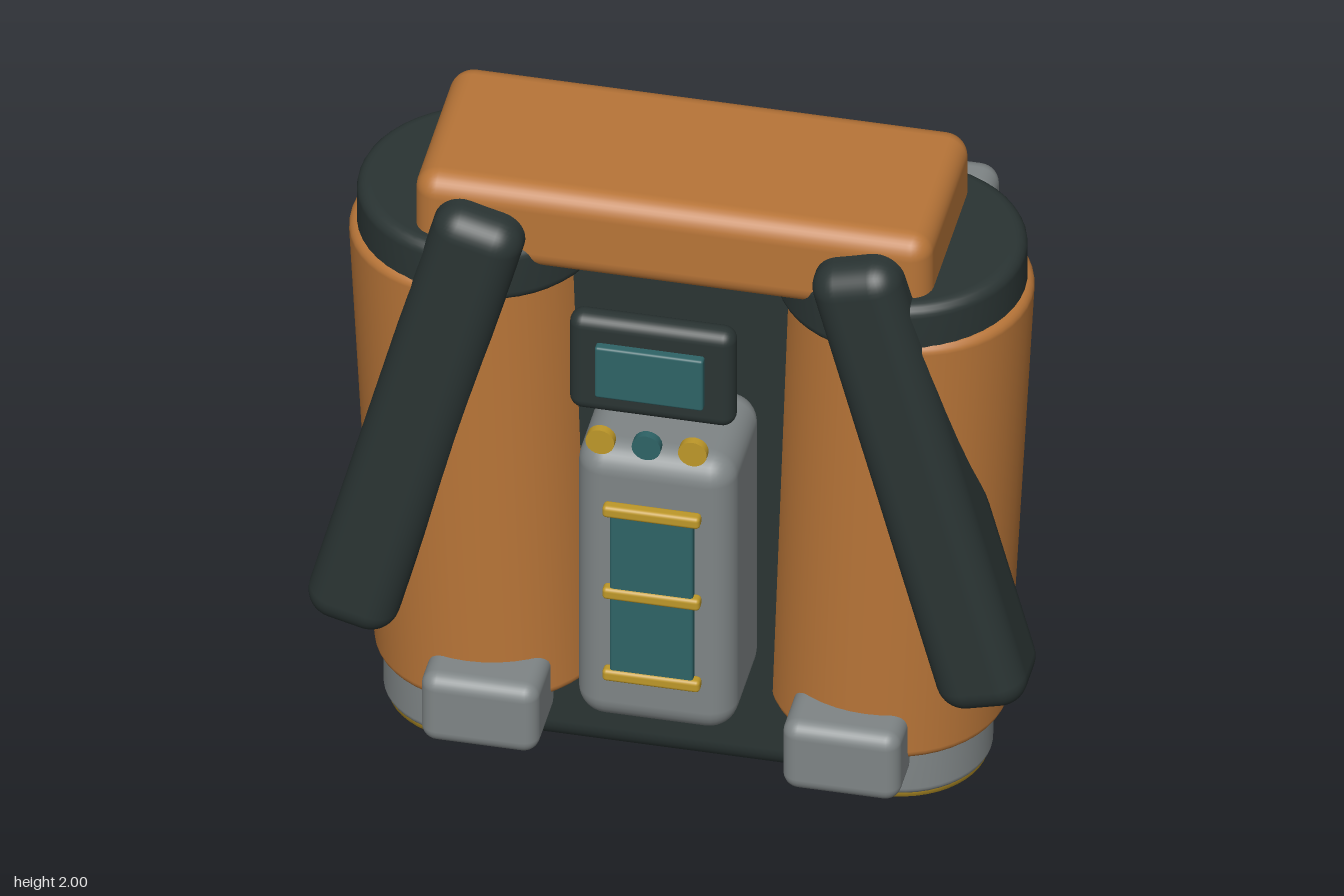
import * as THREE from 'three';
import { RoundedBoxGeometry } from 'three/addons/geometries/RoundedBoxGeometry.js';

const material = (name, color) => {
  const m = new THREE.MeshStandardMaterial({ color });
  m.name = name;
  return m;
};

export function createModel() {
  const orange = material('copper orange', 0xb87538);
  const dark = material('charcoal', 0x2a3433);
  const grey = material('steel grey', 0x7f8586);
  const teal = material('teal glass', 0x2e6366);
  const gold = material('brass', 0xbe9829);
  const model = new THREE.Group();
  model.name = 'backpack';

  const add = (name, geometry, mat, x = 0, y = 0, z = 0) => {
    const mesh = new THREE.Mesh(geometry, mat);
    mesh.name = name;
    mesh.position.set(x, y, z);
    model.add(mesh);
    return mesh;
  };

  // Rounded box given by its low and high corners
  const box = (name, mat, lo, hi, radius) => {
    const size = hi.map((h, i) => h - lo[i]);
    const mid = hi.map((h, i) => (h + lo[i]) / 2);
    return add(name, new RoundedBoxGeometry(...size, 4, radius), mat, ...mid);
  };

  // Upright cylinder with softened rims, centred on its own origin
  const drum = (rBottom, rTop, height, bevel) => {
    const h = height / 2;
    const pts = [new THREE.Vector2(0, -h), new THREE.Vector2(rBottom - bevel * 1.1, -h)];
    for (let i = 0; i <= 5; i++) {
      const a = (i / 5) * Math.PI / 2;
      pts.push(new THREE.Vector2(rBottom - bevel + bevel * Math.sin(a), -h + bevel - bevel * Math.cos(a)));
    }
    for (let i = 0; i <= 5; i++) {
      const a = (i / 5) * Math.PI / 2;
      pts.push(new THREE.Vector2(rTop - bevel + bevel * Math.cos(a), h - bevel + bevel * Math.sin(a)));
    }
    pts.push(new THREE.Vector2(rTop - bevel * 1.1, h), new THREE.Vector2(0, h));
    return new THREE.LatheGeometry(pts, 48);
  };

  // Core frame and cross members
  box('corePanel', dark, [-0.63, 0.03, -0.28], [0.63, 1.78, 0.07], 0.08);
  box('topBolster', orange, [-0.715, 1.73, -0.345], [0.715, 2, 0.205], 0.065);
  box('backRail', grey, [-0.765, 1.48, -0.505], [0.765, 1.78, -0.355], 0.055);
  box('baseRail', dark, [-0.76, 0.005, -0.41], [0.76, 0.275, -0.14], 0.055);

  // Front unit with striped window
  box('frontUnit', grey, [-0.22, 0.4, 0.04], [0.22, 1.325, 0.425], 0.08);
  box('gaugeWindow', teal, [-0.115, 0.58, 0.41], [0.115, 1.14, 0.448], 0.008);
  for (const y of [0.587, 0.865, 1.143]) {
    box('gaugeBand', gold, [-0.135, y - 0.019, 0.418], [0.135, y + 0.019, 0.456], 0.012);
  }

  // Display and buttons
  box('displayCase', dark, [-0.23, 1.475, 0.375], [0.23, 1.795, 0.455], 0.038);
  box('displayScreen', teal, [-0.15, 1.55, 0.44], [0.15, 1.72, 0.48], 0.008);
  for (const i of [-1, 0, 1]) {
    const button = new THREE.CylinderGeometry(0.04, 0.04, 0.025, 20).rotateX(Math.PI / 2);
    add('button', button, i === 0 ? teal : gold, i * 0.128, 1.425, 0.498);
  }

  // Mirrored tanks, nozzles, brackets and straps
  for (const s of [-1, 1]) {
    const tank = add('tank', drum(0.325, 0.337, 1.43, 0.03), orange, s * 0.575, 0.98, -0.07);
    tank.rotation.z = -s * 0.042;
    add('tankCap', drum(0.34, 0.34, 0.175, 0.035), dark, s * 0.58, 1.7275, -0.075);

    add('nozzleCollar', drum(0.248, 0.248, 0.17, 0.025), grey, s * 0.59, 0.21, -0.025);
    const rim = [[0.16, 0.13], [0.16, 0.11], [0.175, 0.1], [0.215, 0.1], [0.235, 0.115], [0.238, 0.135]];
    add('nozzleRim', new THREE.LatheGeometry(rim.map(p => new THREE.Vector2(...p)), 48), gold, s * 0.59, 0, -0.025);
    add('nozzleMouth', new THREE.CylinderGeometry(0.17, 0.17, 0.02, 40), dark, s * 0.59, 0.122, -0.025);
    const ring = new THREE.TorusGeometry(0.135, 0.014, 8, 40).rotateX(Math.PI / 2);
    add('nozzleRing', ring, gold, s * 0.59, 0.114, -0.025);

    box('footBracket', grey, [s * 0.5 - 0.163, 0.195, 0.1], [s * 0.5 + 0.163, 0.42, 0.355], 0.045);

    const strap = add('strap', new RoundedBoxGeometry(0.255, 1.487, 0.255, 5, 0.08), dark, s * 0.697, 1.217, 0.182);
    strap.rotation.z = s * 0.26;
  }
  return model;
}
